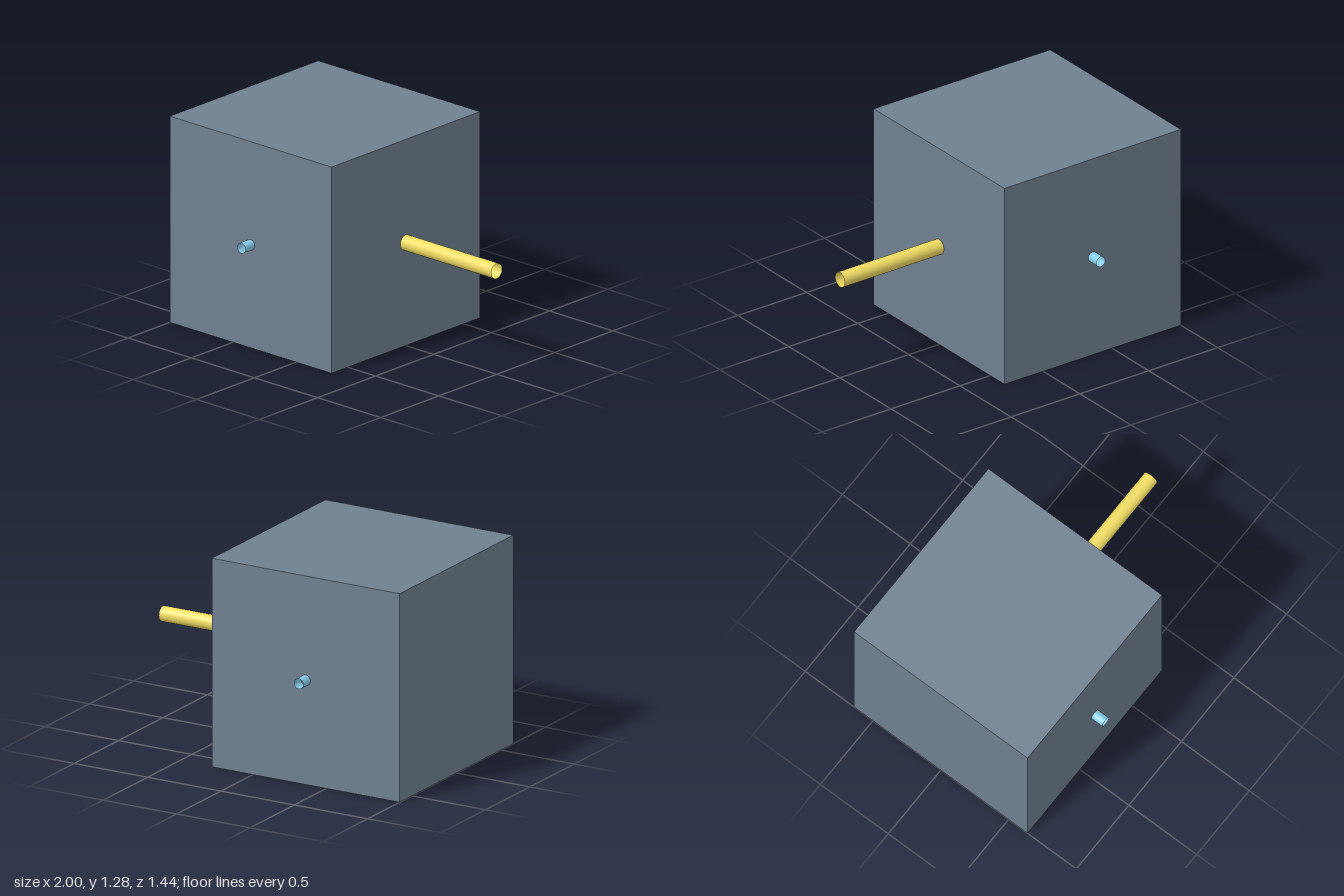
import * as THREE from 'three';

const SIZE = 1.28;          // edge of the cubic body
const BODY_X = -0.36;       // body centre along x
const MID_Y = SIZE / 2;

// Open-ended pipe lying along the given axis, from one coordinate to another
function pipe(name, radius, axis, from, to, color) {
  const geometry = new THREE.CylinderGeometry(radius, radius, Math.abs(to - from), 32, 1, true);
  if (axis === 'x') geometry.rotateZ(-Math.PI / 2);
  else geometry.rotateX(Math.PI / 2);
  const mesh = new THREE.Mesh(
    geometry,
    new THREE.MeshStandardMaterial({ color, side: THREE.DoubleSide })
  );
  mesh.name = name;
  mesh.position.set(BODY_X, MID_Y, 0);
  mesh.position[axis] = (from + to) / 2;
  return mesh;
}

export function createModel() {
  const model = new THREE.Group();
  model.name = 'boxWithPipes';

  // Cubic body
  const body = new THREE.Mesh(
    new THREE.BoxGeometry(SIZE, SIZE, SIZE),
    new THREE.MeshStandardMaterial({ color: 0x708090 })
  );
  body.name = 'body';
  body.position.set(BODY_X, MID_Y, 0);
  model.add(body);

  // Long pipe out of the left side
  model.add(pipe('longPipe', 0.047, 'x', BODY_X + SIZE / 2, 1, 0xf0dc64));

  // Short stubs on front and back
  for (const [name, s] of [['frontStub', 1], ['backStub', -1]]) {
    model.add(pipe(name, 0.032, 'z', s * SIZE / 2, s * 0.72, 0x87ceeb));
  }

  return model;
}
